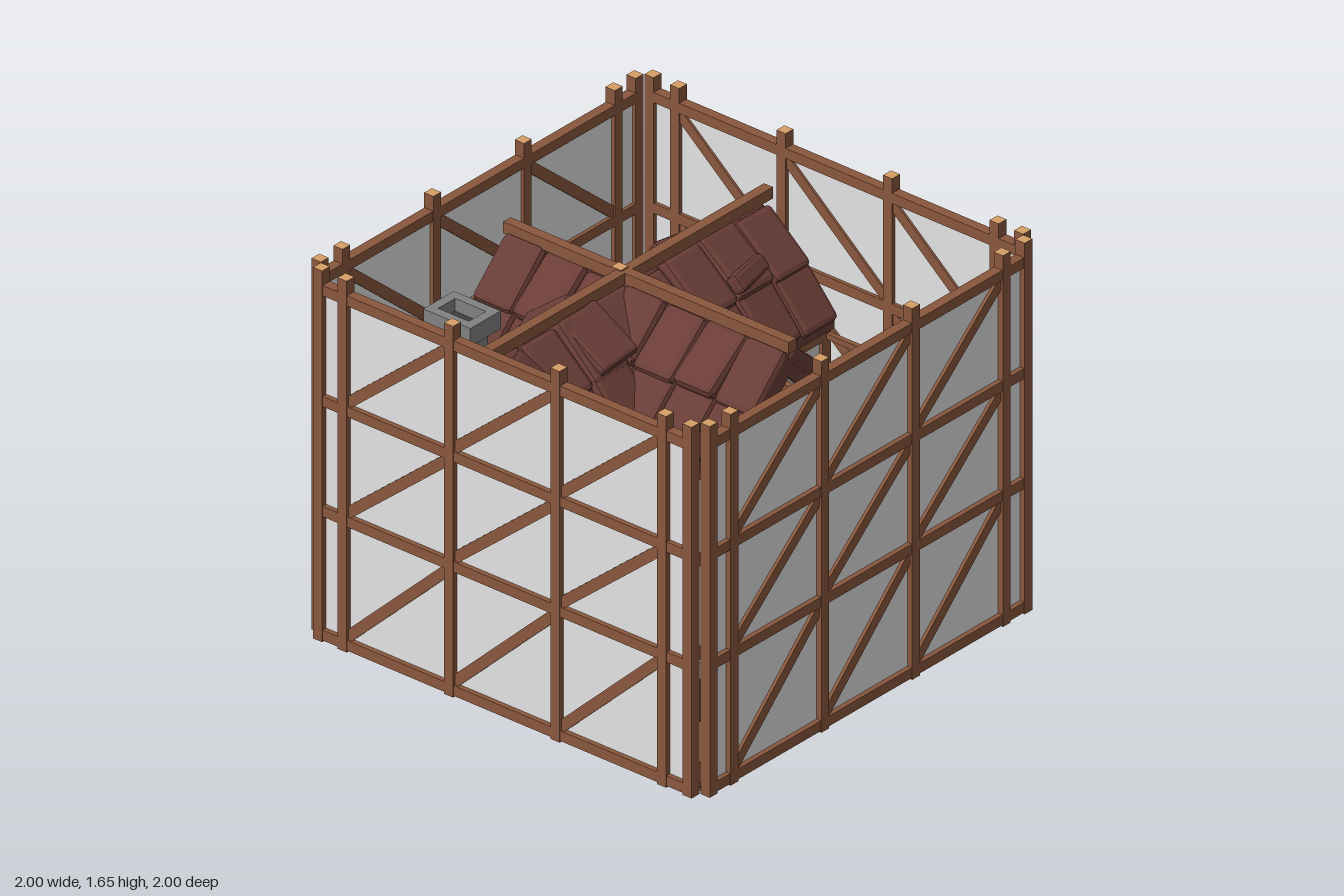
import * as THREE from 'three';
import { RoundedBoxGeometry } from 'three/addons/geometries/RoundedBoxGeometry.js';

const mat = (name, color, extra = {}) => Object.assign(new THREE.MeshStandardMaterial({ color, ...extra }), { name });
const points = (list) => list.map((p) => new THREE.Vector2(...p));

export function createModel() {
  const wood = mat('wood', 0x8a573d);
  const cutWood = mat('cutWood', 0xd6a066);
  const sheet = mat('sheet', 0xe3e3e3, { side: THREE.DoubleSide });
  const plaster = mat('plaster', 0xd0cec8);
  const roof = mat('roof', 0x6a3d37, { flatShading: true });
  const stone = mat('stone', 0x808282);
  const paleStone = mat('paleStone', 0xb6b4b0);
  const dark = mat('darkGround', 0x404040);
  const earth = mat('earth', 0xd6a066);
  const postMats = [wood, wood, cutWood, cutWood, wood, wood];
  const model = new THREE.Group();

  let seed = 7;
  const jitter = (a) => {
    seed = (seed * 16807) % 2147483647;
    return (seed / 2147483647 - 0.5) * 2 * a;
  };
  const add = (parent, name, geo, material, x = 0, y = 0, z = 0) => {
    const m = new THREE.Mesh(geo, material);
    m.name = name;
    m.position.set(x, y, z);
    parent.add(m);
    return m;
  };
  const box = (parent, name, w, h, d, material, x, y, z) =>
    add(parent, name, new THREE.BoxGeometry(w, h, d), material, x, y, z);
  const group = (parent, name) => {
    const g = new THREE.Group();
    g.name = name;
    parent.add(g);
    return g;
  };

  // Four scaffold sides, each turned a quarter
  const bays = [-0.805, -0.27, 0.265, 0.8];
  const levels = [0.045, 0.59, 1.075, 1.563];
  for (let i = 0; i < 4; i++) {
    const side = group(model, 'scaffoldSide');
    side.rotation.y = i * Math.PI / 2;
    box(side, 'sheet', 1.88, 1.53, 0.006, sheet, 0, 0.8, 0.973);
    for (const x of [-0.928, ...bays, 0.928])
      box(side, 'post', 0.045, 1.635, 0.046, postMats, x, 0.833, 0.977);
    for (const y of levels) box(side, 'rail', 1.9, 0.045, 0.043, wood, 0, y, 0.976);
    for (let c = 0; c < 3; c++) for (let r = 0; r < 3; r++) {
      const dx = bays[c + 1] - bays[c] - 0.03, dy = levels[r + 1] - levels[r] - 0.06;
      const brace = box(side, 'brace', Math.hypot(dx, dy), 0.046, 0.03, wood,
        (bays[c] + bays[c + 1]) / 2, (levels[r] + levels[r + 1]) / 2, 0.975);
      brace.rotation.z = Math.atan2(dy, dx);
    }
  }

  // Ground layers
  const ground = group(model, 'ground');
  box(ground, 'groundUnderside', 1.912, 0.01, 1.912, paleStone, 0, 0.037, 0);
  box(ground, 'groundFrame', 1.912, 0.012, 1.912, wood, 0, 0.048, 0);
  const s = new THREE.Shape(), e = 0.89, r = 0.2;
  for (const [cx, cy, a] of [[1, -1, -0.5], [1, 1, 0], [-1, 1, 0.5], [-1, -1, 1]])
    s.absarc(cx * (e - r), cy * (e - r), r, a * Math.PI, (a + 0.5) * Math.PI, false);
  const earthGeo = new THREE.ExtrudeGeometry(s, { depth: 0.034, bevelEnabled: false });
  earthGeo.rotateX(-Math.PI / 2);
  add(ground, 'earth', earthGeo, earth, 0, 0.026, 0);
  const patch = new THREE.CylinderGeometry(0.92, 0.92, 0.008, 20);
  add(ground, 'darkPatch', patch, dark, -0.032, 0.064, -0.025);
  const rim = add(ground, 'patchRim', new THREE.RingGeometry(0.87, 0.905, 20), dark, -0.02, 0.024, -0.01);
  rim.rotation.x = Math.PI / 2;

  // Cross-shaped house: two gabled wings sharing one ridge height
  const RX = -0.24, RIDGE = 1.4, EAVE = 1.04, HALF = 0.365;
  const prism = (outline, depth) => {
    const geo = new THREE.ExtrudeGeometry(new THREE.Shape(points(outline)), { depth, bevelEnabled: false });
    return geo.rotateY(Math.PI / 2);
  };
  const wing = (name, a0, a1, count, sill) => {
    const g = group(model, name);
    const len = a1 - a0, mid = (a0 + a1) / 2;
    box(g, 'foundation', len + sill, 0.14, 0.7, paleStone, mid, 0.071, 0);
    add(g, 'walls', prism([[-0.32, 0.14], [0.32, 0.14], [0.32, 0.98], [0, 1.3], [-0.32, 0.98]], len - 0.06),
      plaster, a0 + 0.03);
    // Roof boarding under the slabs closes the seams
    add(g, 'roofBoarding', prism([[-0.35, 0.98], [-0.32, 0.98], [0, 1.3], [0.32, 0.98], [0.35, 0.98], [0.35, 1.03],
      [0, 1.38], [-0.35, 1.03]], len - 0.02), roof, a0 + 0.01);
    // Timber frame on the end and side walls
    for (const x of [a0 + 0.04, a1 - 0.04]) {
      for (const z of [-0.31, 0, 0.31]) box(g, 'timberPost', 0.05, 0.84, 0.05, wood, x, 0.56, z);
      for (const y of [0.17, 0.58, 0.96]) box(g, 'timberBeam', 0.05, 0.05, 0.66, wood, x, y, 0);
    }
    for (const z of [-0.31, 0.31]) for (const y of [0.17, 0.58, 0.96])
      box(g, 'timberRail', len - 0.06, 0.05, 0.05, wood, mid, y, z);
    // Two courses of thick roof slabs on each slope, upper lapping lower
    const w = len / count, slope = Math.atan2(RIDGE - EAVE, HALF);
    for (const sgn of [-1, 1]) for (let c = 0; c < count; c++) for (let k = 0; k < 2; k++) {
      const d = k ? 0.255 : 0.105;
      const tile = add(g, 'roofSlab', new RoundedBoxGeometry(w - 0.004, 0.075, 0.29, 1, 0.025), roof,
        a0 + (c + 0.5) * w, RIDGE - d * (RIDGE - EAVE) / HALF + (k ? -0.015 : 0.005) + jitter(0.014), sgn * d);
      tile.rotation.x = sgn * (slope + (k ? 0.02 : -0.07) + jitter(0.08));
    }
    box(g, 'ridgeBeam', len + 0.02, 0.05, 0.045, wood, mid, RIDGE + 0.045, 0);
    return g;
  };
  wing('crossWing', -0.82, 0.595, 7, -0.02);
  const longWing = wing('longWing', -0.86, 0.84, 8, 0.045);
  longWing.rotation.y = Math.PI / 2;
  longWing.position.x = RX;
  box(model, 'crossingPost', 0.05, 0.2, 0.045, postMats, -0.262, RIDGE - 0.025, 0);

  // Beam ends that stick out of the walls
  for (const z of [-0.81, 0.8]) box(model, 'eaveBeam', z < 0 ? 0.98 : 0.72, 0.025, 0.022, wood, z < 0 ? -0.24 : -0.37, 0.95, z);
  box(model, 'hoistBeam', 0.3, 0.04, 0.03, wood, 0.61, 1.25, 0);
  box(model, 'gablePost', 0.03, 0.9, 0.05, wood, 0.6, 0.55, -0.268);
  const prop = group(model, 'leaningProp');
  prop.position.set(0.63, 0.6, 0.17);
  prop.rotation.set(0.2, 0, -0.04);
  box(prop, 'propPost', 0.05, 1.05, 0.05, postMats, 0, 0, 0);

  // Small dormers and loose slabs on the long wing
  const slab = (name, w, h, d, x, y, z, rx, ry, rz) => {
    const m = add(model, name, new RoundedBoxGeometry(w, h, d, 1, Math.min(w, h, d) * 0.3), roof, x, y, z);
    m.rotation.set(rx, ry, rz);
  };
  for (const sgn of [-1, 1]) {
    slab('dormerSlab', 0.08, 0.06, 0.22, RX + sgn * 0.18, 1.29, -0.52, 0, sgn * 0.22, -sgn * 0.9);
    slab('valleySlab', 0.17, 0.06, 0.24, RX + sgn * 0.27, 1.14, -0.34, -0.4, sgn * 0.7, -sgn * 0.4);
  }
  slab('looseSlab', 0.24, 0.06, 0.2, -0.37, 1.33, 0.33, 0.2, 0.3, 0.6);
  slab('looseSlab', 0.26, 0.06, 0.21, -0.12, 1.34, 0.3, 0.1, 0, -0.6);
  slab('looseSlab', 0.15, 0.06, 0.24, -0.13, 1.35, 0.74, 0, 0.4, -0.7);

  // Lean-to beside the long wing
  const leanTo = group(model, 'leanTo');
  box(leanTo, 'leanToWall', 0.24, 0.62, 0.28, plaster, 0.18, 0.36, 0.6);
  for (const z of [0.49, 0.73]) box(leanTo, 'leanToPost', 0.04, 0.66, 0.04, wood, 0.32, 0.37, z);
  slab('leanToSlab', 0.28, 0.07, 0.22, 0.17, 1.0, 0.73, 0.06, 0.08, -0.6);
  slab('leanToSlab', 0.26, 0.07, 0.22, 0.36, 0.84, 0.68, 0.05, 0.06, -0.75);
  slab('leanToSlab', 0.24, 0.07, 0.24, 0.35, 0.84, 0.54, -0.05, -0.45, -0.85);
  slab('leanToSlab', 0.28, 0.07, 0.28, 0.21, 0.94, 0.53, 0, -0.2, -0.55);

  // Lattice window set into the lean-to roof
  const lattice = group(model, 'latticeWindow');
  lattice.position.set(0.28, 1.02, 0.52);
  lattice.rotation.z = -0.3;
  box(lattice, 'windowPane', 0.1, 0.008, 0.17, dark, 0, -0.008, 0);
  for (const x of [-0.05, 0, 0.05]) box(lattice, 'windowBar', x ? 0.018 : 0.012, 0.02, 0.19, wood, x, 0, 0);
  for (const z of [-0.087, -0.03, 0.03, 0.087]) box(lattice, 'windowCrossbar', 0.11, 0.02, 0.016, wood, 0, 0, z);

  // Chimney
  const chimney = group(model, 'chimney');
  chimney.position.set(-0.373, 0, 0.8);
  box(chimney, 'chimneyShaft', 0.16, 1.5, 0.12, stone, 0, 0.76, 0);
  const cap = new THREE.Shape(points([[-0.118, -0.09], [0.118, -0.09], [0.118, 0.09], [-0.118, 0.09]]));
  cap.holes.push(new THREE.Path(points([[-0.077, -0.05], [-0.077, 0.05], [0.077, 0.05], [0.077, -0.05]])));
  const capGeo = new THREE.ExtrudeGeometry(cap, { depth: 0.08, bevelEnabled: false });
  capGeo.rotateX(-Math.PI / 2);
  add(chimney, 'chimneyCap', capGeo, stone, 0, 1.51, 0);
  box(chimney, 'chimneyFlue', 0.156, 0.008, 0.104, dark, 0, 1.53, 0);

  return model;
}
